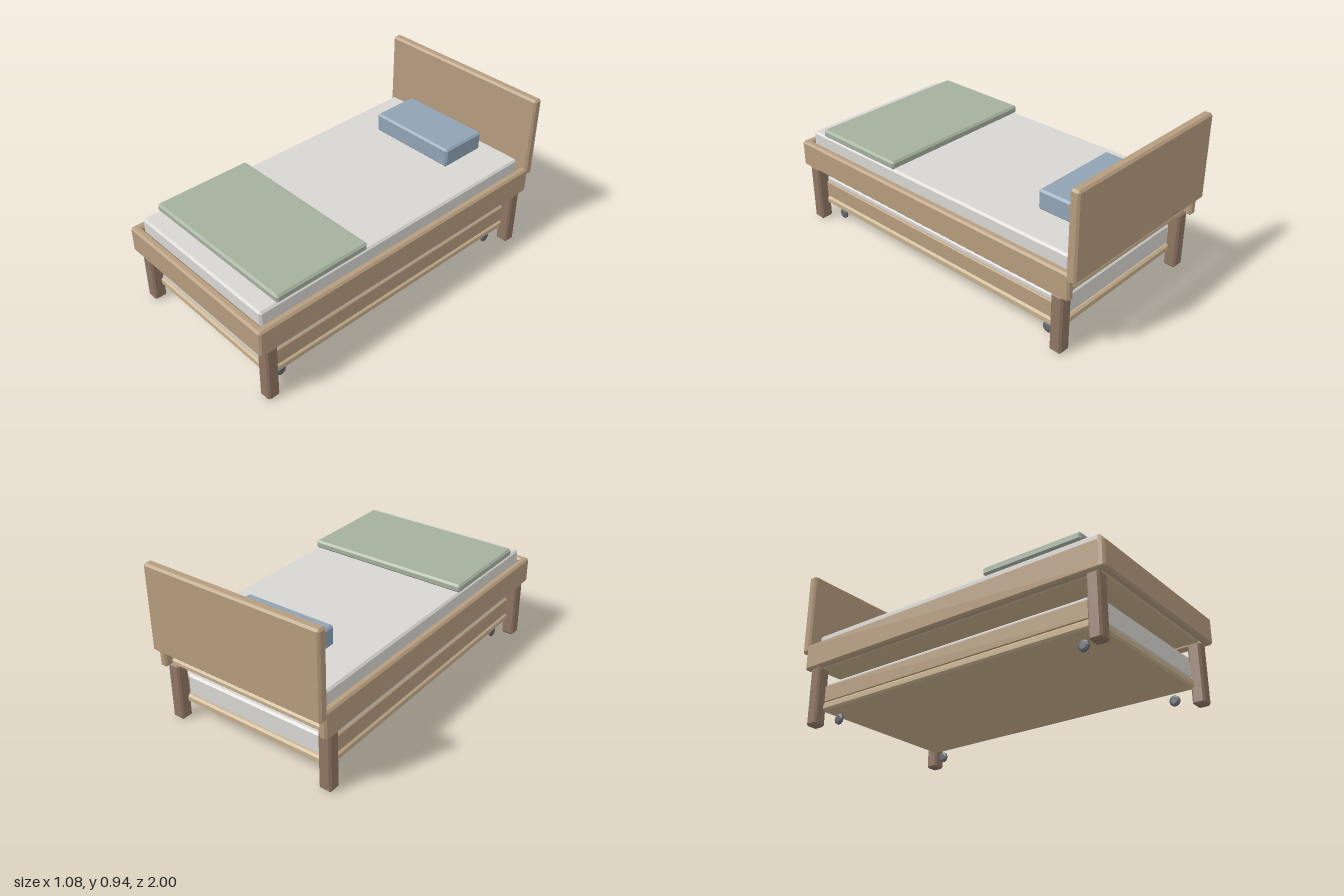
import * as THREE from 'three';
import { ConvexGeometry } from 'three/addons/geometries/ConvexGeometry.js';

const material = (color) => new THREE.MeshStandardMaterial({ color, flatShading: true });
const wood = material(0xb59c7e);
const lightWood = material(0xc6b08e);
const legWood = material(0x8f7563);
const linen = material(0xd8d6d2);
const blue = material(0x90a3b4);
const green = material(0xa5b09e);
const red = material(0xc08a82);
const metal = material(0x62666c);

// Box with chamfered edges, given by its limits on each axis
function chamferBox(name, mat, [x0, x1], [y0, y1], [z0, z1], c = 0.011) {
  const [w, h, d] = [(x1 - x0) / 2, (y1 - y0) / 2, (z1 - z0) / 2];
  const points = [];
  for (const x of [-1, 1]) for (const y of [-1, 1]) for (const z of [-1, 1]) {
    points.push(
      new THREE.Vector3(x * w, y * (h - c), z * (d - c)),
      new THREE.Vector3(x * (w - c), y * h, z * (d - c)),
      new THREE.Vector3(x * (w - c), y * (h - c), z * d));
  }
  const mesh = new THREE.Mesh(new ConvexGeometry(points), mat);
  mesh.name = name;
  mesh.position.set((x0 + x1) / 2, (y0 + y1) / 2, (z0 + z1) / 2);
  return mesh;
}

// Limits of a span on the left (+1) or right (-1) side
const sided = (side, a, b) => (side > 0 ? [a, b] : [-b, -a]);

export function createModel() {
  const model = new THREE.Group();
  model.name = 'trundleBed';

  // Main bed frame
  const frame = new THREE.Group();
  frame.name = 'bedFrame';
  frame.add(chamferBox('headboard', wood, [-0.54, 0.54], [0.45, 0.94], [-1, -0.945]));
  frame.add(chamferBox('footRail', wood, [-0.54, 0.54], [0.34, 0.495], [0.955, 1]));
  frame.add(chamferBox('mattressSupport', lightWood, [-0.488, 0.488], [0.35, 0.39], [-0.935, 0.953]));
  for (const side of [1, -1]) {
    frame.add(chamferBox('sideRail', wood, sided(side, 0.495, 0.54), [0.34, 0.495], [-0.965, 1]));
    for (const [z0, z1] of [[0.888, 0.96], [-0.925, -0.853]]) {
      frame.add(chamferBox('leg', legWood, sided(side, 0.455, 0.53), [0.005, 0.345], [z0, z1]));
    }
  }

  // Main bedding
  const bedding = new THREE.Group();
  bedding.name = 'bedding';
  bedding.add(chamferBox('mattress', linen, [-0.488, 0.488], [0.39, 0.555], [-0.92, 0.95]));
  bedding.add(chamferBox('blanket', green, [-0.492, 0.492], [0.553, 0.6], [0.265, 0.85]));
  bedding.add(chamferBox('pillow', blue, [-0.273, 0.273], [0.556, 0.67], [-0.842, -0.552]));

  // Trundle bed underneath
  const trundle = new THREE.Group();
  trundle.name = 'trundle';
  trundle.add(chamferBox('trundleBase', lightWood, [-0.48, 0.48], [0.095, 0.143], [-0.875, 0.91]));
  trundle.add(chamferBox('trundleMattress', linen, [-0.456, 0.456], [0.142, 0.268], [-0.865, 0.9]));
  trundle.add(chamferBox('trundlePillow', red, [-0.265, 0.265], [0.267, 0.36], [-0.79, -0.518]));

  // Bevelled caster profile, turned about the x axis
  const profile = [[0, -0.011], [0.018, -0.011], [0.03, -0.005], [0.03, 0.005], [0.018, 0.011], [0, 0.011]]
    .map(([r, y]) => new THREE.Vector2(r, y));
  const casterGeometry = new THREE.LatheGeometry(profile, 10).rotateZ(Math.PI / 2);
  for (const side of [1, -1]) {
    trundle.add(chamferBox('trundleSideRail', wood, sided(side, 0.457, 0.474), [0.142, 0.243], [-0.87, 0.905], 0.006));
    for (const z of [0.805, -0.77]) {
      const caster = new THREE.Mesh(casterGeometry, metal);
      caster.name = 'caster';
      caster.position.set(side * 0.432, 0.04, z);
      trundle.add(caster);
    }
  }

  model.add(frame, bedding, trundle);
  return model;
}
